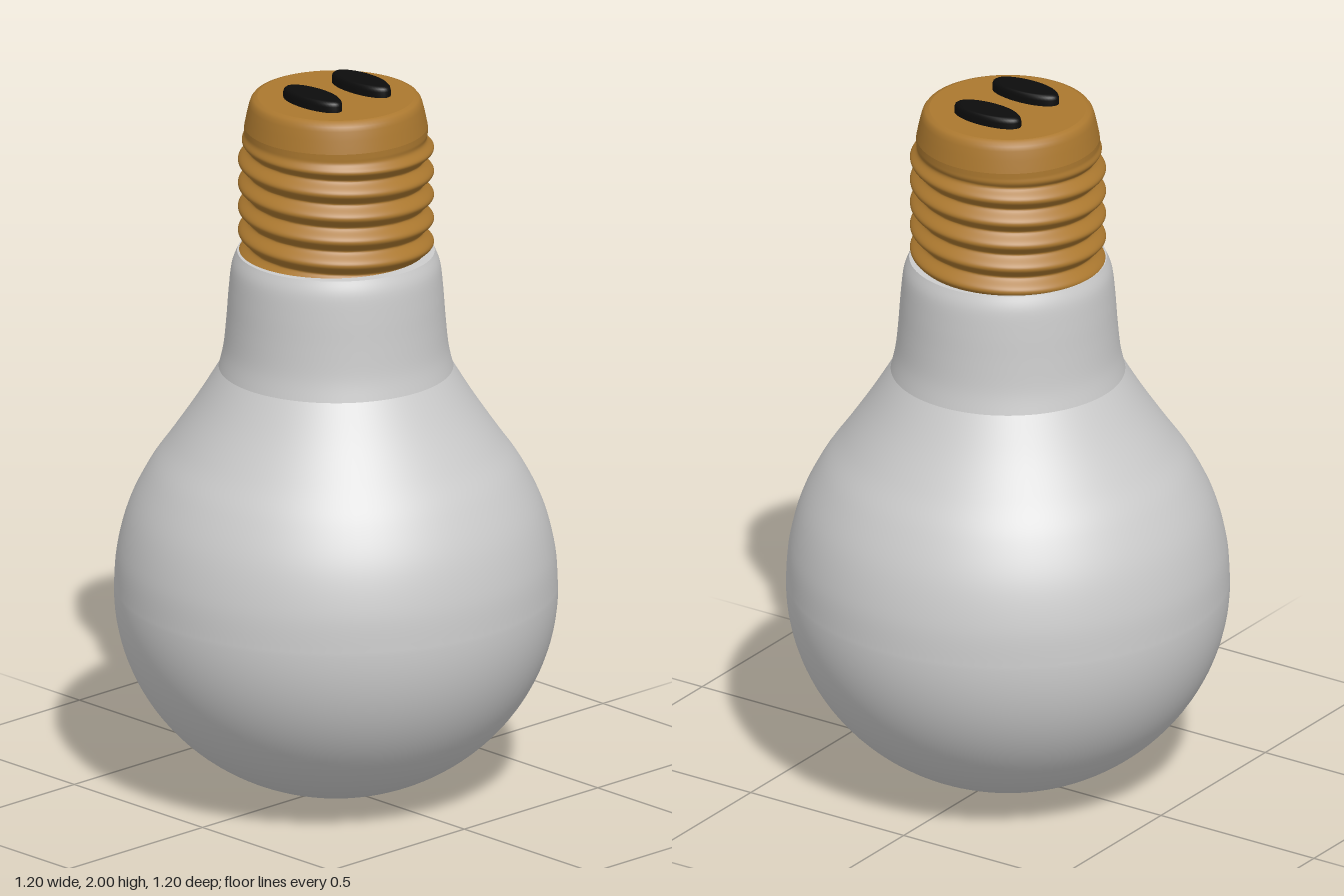
import * as THREE from 'three';
import { ParametricGeometry } from 'three/addons/geometries/ParametricGeometry.js';

const glassMat = new THREE.MeshStandardMaterial({ color: 0xcccccc, side: THREE.DoubleSide });
const brassMat = new THREE.MeshStandardMaterial({ color: 0xab782f, side: THREE.DoubleSide });
const blackMat = new THREE.MeshStandardMaterial({ color: 0x0c0c0c });

function addMesh(parent, name, geometry, material) {
  const mesh = new THREE.Mesh(geometry, material);
  mesh.name = name;
  parent.add(mesh);
  return mesh;
}

const lathe = (points, segments = 96) => new THREE.LatheGeometry(points, segments);
const toPoints = (pairs) => pairs.map(([r, y]) => new THREE.Vector2(r, y));

// Round lower bowl, then a smooth shoulder narrowing towards the neck
function bulbProfile() {
  const points = [];
  for (let i = 0; i <= 32; i++) {
    const a = (i / 32) * Math.PI / 2;
    points.push(new THREE.Vector2(0.6 * Math.sin(a), 0.57 - 0.57 * Math.cos(a)));
  }
  const shoulder = new THREE.SplineCurve(toPoints([
    [0.6, 0.57], [0.592, 0.68], [0.561, 0.8], [0.507, 0.91], [0.445, 1.0], [0.378, 1.1], [0.317, 1.2],
  ]));
  return points.concat(shoulder.getPoints(36).slice(1));
}

// Screw sleeve: a cylinder whose radius follows one continuous helical thread
function threadGeometry() {
  const bottom = 1.53, top = 1.885, pitch = 0.067, crestY = 1.815;
  return new ParametricGeometry((u, v, target) => {
    const a = -u * Math.PI * 2;
    const y = bottom + v * (top - bottom);
    const phase = (y - crestY) / pitch - a / (Math.PI * 2);
    const wave = Math.pow(0.5 + 0.5 * Math.cos(phase * Math.PI * 2), 0.8);
    const thread = 0.238 + 0.027 * wave;
    const blend = THREE.MathUtils.smoothstep(y, 1.825, 1.87);
    const r = THREE.MathUtils.lerp(thread, 0.248, blend);
    target.set(r * Math.cos(a), y, r * Math.sin(a));
  }, 96, 110);
}

export function createModel() {
  const model = new THREE.Group();
  model.name = 'lightBulb';

  // Glass envelope
  addMesh(model, 'glassBulb', lathe(bulbProfile()), glassMat);
  const neck = new THREE.SplineCurve(toPoints([
    [0.317, 1.2], [0.304, 1.26], [0.296, 1.34], [0.29, 1.42], [0.282, 1.49], [0.267, 1.53],
  ]));
  addMesh(model, 'glassNeck', lathe(neck.getPoints(24)), glassMat);
  addMesh(model, 'neckRim', lathe(toPoints([[0.267, 1.53], [0.22, 1.532]])), glassMat);

  // Brass screw cap
  const cap = new THREE.Group();
  cap.name = 'screwCap';
  model.add(cap);
  addMesh(cap, 'screwThread', threadGeometry(), brassMat);
  addMesh(cap, 'capShoulder', lathe(toPoints([
    [0.248, 1.885], [0.241, 1.92], [0.235, 1.945], [0.231, 1.957], [0.224, 1.966], [0.212, 1.97],
  ])), brassMat);
  addMesh(cap, 'capTop', lathe(toPoints([[0.212, 1.97], [0, 1.97]])), brassMat);

  // Two oval contacts with softened upper edges
  const contactProfile = toPoints([
    [1, 1.965], [1, 1.986], [0.97, 1.994], [0.9, 1.999], [0.8, 2.0], [0, 2.0],
  ]);
  for (const side of [-1, 1]) {
    const contact = addMesh(cap, side > 0 ? 'leftContact' : 'rightContact', lathe(contactProfile, 48), blackMat);
    contact.scale.set(0.045, 1, 0.105);
    contact.position.set(side * 0.091, 0, 0.004);
  }
  return model;
}
